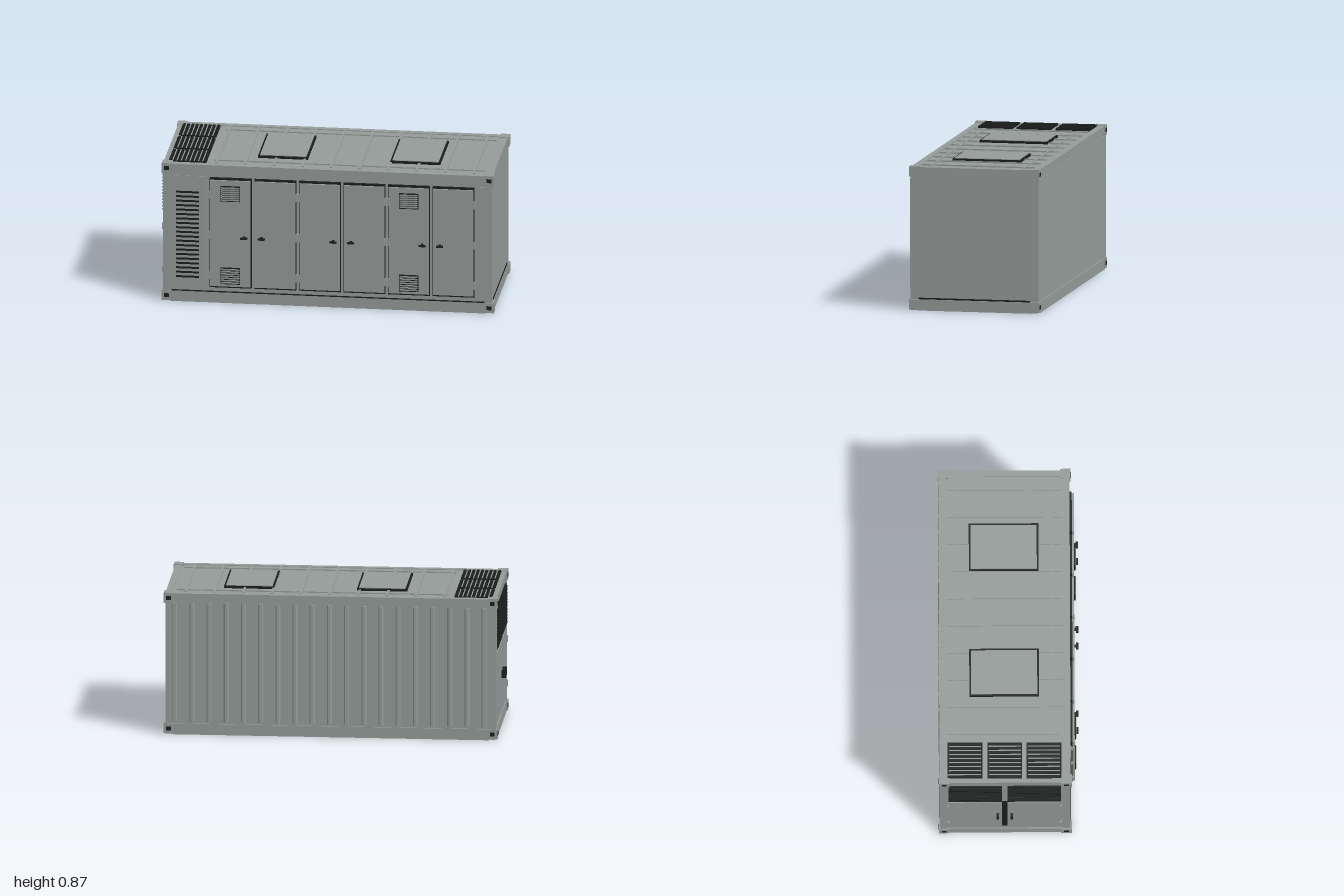
import * as THREE from 'three';

export function createModel() {
  const root = new THREE.Group();
  root.name = 'equipmentContainer';
  const grey = new THREE.MeshStandardMaterial({ color: 0x949b99 });
  grey.name = 'greyPaint';
  const dark = new THREE.MeshStandardMaterial({ color: 0x1b1e1e });
  dark.name = 'darkRubber';

  // Box given by its minimum and maximum on each axis
  const box = (name, mat, x0, x1, y0, y1, z0, z1, parent = root) => {
    const m = new THREE.Mesh(new THREE.BoxGeometry(x1 - x0, y1 - y0, z1 - z0), mat);
    m.position.set((x0 + x1) / 2, (y0 + y1) / 2, (z0 + z1) / 2);
    m.name = name;
    parent.add(m);
    return m;
  };
  const group = (name) => {
    const g = new THREE.Group();
    g.name = name;
    root.add(g);
    return g;
  };

  // Shell, rails and posts
  box('body', grey, -0.965, 0.982, 0.004, 0.852, -0.4, 0.362);
  const frame = group('frame');
  for (const [y0, y1] of [[0.002, 0.068], [0.812, 0.857]]) {
    box('frontRail', grey, -0.93, 0.95, y0, y1, 0.33, 0.366, frame);
    box('backRail', grey, -0.93, 0.95, y0, y1, -0.408, -0.37, frame);
    box('rightEndRail', grey, 0.95, 0.988, y0, y1, -0.36, 0.32, frame);
    box('leftEndRail', grey, -0.972, -0.93, y0, y1, -0.36, 0.32, frame);
  }
  for (const [x0, x1] of [[-0.972, -0.925], [0.945, 0.985]])
    for (const [z0, z1] of [[-0.405, -0.36], [0.32, 0.366]])
      box('cornerPost', grey, x0, x1, 0.06, 0.81, z0, z1, frame);
  box('frontSill', dark, -0.92, 0.94, 0.068, 0.074, 0.355, 0.368, frame);
  box('rightSill', dark, 0.975, 0.986, 0.069, 0.078, -0.355, 0.318, frame);

  // Corner castings with dark sockets on their outer faces
  const castings = group('cornerCastings');
  for (const [x0, x1, sx] of [[-0.979, -0.92, -1], [0.94, 0.997, 1]])
    for (const [y0, y1] of [[0.008, 0.069], [0.8, 0.861]])
      for (const [z0, z1, sz] of [[-0.412, -0.348, -1], [0.31, 0.373, 1]]) {
        box('casting', grey, x0, x1, y0, y1, z0, z1, castings);
        const cx = (x0 + x1) / 2, cy = (y0 + y1) / 2, zf = sz > 0 ? z1 : z0;
        box('socket', dark, cx - 0.014, cx + 0.014, cy - 0.012, cy + 0.012, zf - 0.002, zf + 0.002, castings);
        if (sx < 0) {
          const cz = (z0 + z1) / 2;
          box('endSocket', dark, x0 - 0.002, x0 + 0.002, cy - 0.012, cy + 0.012, cz - 0.014, cz + 0.014, castings);
        }
      }

  // Back wall corrugation: tapered ribs
  const rib = new THREE.Shape([[-0.015, 0], [0.015, 0], [0.008, 0.011], [-0.008, 0.011]]
    .map(([x, y]) => new THREE.Vector2(x, y)));
  const ribGeo = new THREE.ExtrudeGeometry(rib, { depth: 0.72, bevelEnabled: false });
  const backRibs = group('backRibs');
  for (let i = 0; i < 19; i++) {
    const m = new THREE.Mesh(ribGeo, grey);
    m.name = 'backRib';
    m.rotation.x = -Math.PI / 2;
    m.rotation.z = Math.PI;
    m.rotation.order = 'XYZ';
    // Profile height turned to -z, length turned up
    m.setRotationFromMatrix(new THREE.Matrix4().makeBasis(
      new THREE.Vector3(1, 0, 0), new THREE.Vector3(0, 0, -1), new THREE.Vector3(0, 1, 0)));
    m.position.set(-0.9 + i * 0.1018, 0.08, -0.4);
    backRibs.add(m);
  }

  // Roof ribs
  const roof = group('roofRibs');
  for (let i = 0; i < 10; i++) {
    const x = -0.66 + i * 0.17;
    box('crossRib', grey, x - 0.007, x + 0.007, 0.85, 0.86, -0.36, 0.32, roof);
  }
  for (const z of [-0.3, 0.26])
    box('longRib', grey, -0.68, 0.93, 0.85, 0.859, z - 0.006, z + 0.006, roof);

  // Roof hatches: dark gasket under a grey lid
  for (const x of [-0.43, 0.357]) {
    const hatch = group('roofHatch');
    box('gasket', dark, x, x + 0.297, 0.85, 0.865, -0.23, 0.182, hatch);
    box('lid', grey, x + 0.011, x + 0.286, 0.86, 0.869, -0.219, 0.171, hatch);
  }

  // Roof grilles
  for (const [z0, z1] of [[-0.36, -0.155], [-0.125, 0.08], [0.105, 0.312]]) {
    const grille = group('roofGrille');
    box('grillePlate', dark, -0.945, -0.72, 0.848, 0.858, z0, z1, grille);
    for (let i = 0; i < 9; i++) {
      const x = -0.934 + i * 0.0254;
      box('slat', dark, x - 0.007, x + 0.007, 0.855, 0.863, z0, z1, grille);
      if (i < 8) box('gap', grey, x + 0.0095, x + 0.0159, 0.855, 0.8595, z0 + 0.008, z1 - 0.008, grille);
    }
  }

  // Front louvre
  const louvre = group('frontLouvre');
  box('louvrePanel', grey, -0.92, -0.735, 0.11, 0.785, 0.35, 0.365, louvre);
  for (let i = 0; i < 20; i++) {
    const y = 0.158 + i * 0.0277;
    box('slot', dark, -0.895, -0.757, y - 0.0055, y + 0.0055, 0.36, 0.369, louvre);
  }
  box('louvreTrim', grey, -0.732, -0.714, 0.11, 0.785, 0.355, 0.372, louvre);
  box('endPanel', grey, 0.89, 0.943, 0.105, 0.785, 0.355, 0.366, louvre);

  // Six front doors in pairs, hinged on their outer edges
  for (let i = 0; i < 6; i++) {
    const door = group('frontDoor');
    const x0 = -0.692 + i * 0.2652, x1 = x0 + 0.248, leftLeaf = i % 2 === 0;
    box('gasket', dark, x0, x1, 0.102, 0.783, 0.355, 0.379, door);
    box('leaf', grey, x0 + 0.004, x1 - 0.004, 0.113, 0.772, 0.37, 0.391, door);
    const hx = leftLeaf ? x0 : x1;
    for (const y of [0.177, 0.428, 0.678])
      box('hinge', grey, hx - 0.006, hx + 0.006, y - 0.023, y + 0.023, 0.36, 0.385, door);
    // Lever handle
    const gx = leftLeaf ? x1 - 0.042 : x0 + 0.045;
    box('handleBase', dark, gx - 0.007, gx + 0.007, 0.412, 0.43, 0.388, 0.406, door);
    box('handleLever', dark, gx - 0.02, gx + 0.02, 0.416, 0.426, 0.4, 0.415, door);
    // Ventilation grilles on the first and fifth doors
    if (i % 4 === 0)
      for (const [y0, y1] of [[0.13, 0.232], [0.645, 0.74]]) {
        const vx = x0 + 0.067;
        box('vent', dark, vx, vx + 0.116, y0, y1, 0.388, 0.399, door);
        for (let k = 0; k < 7; k++) {
          const y = y0 + 0.01 + k * (y1 - y0 - 0.02) / 6;
          box('ventBlade', grey, vx + 0.004, vx + 0.112, y - 0.0042, y + 0.0042, 0.396, 0.402, door);
        }
      }
  }

  // Left end: two grilles over a pair of doors
  for (const [z0, z1, hz, hingeZ] of [[-0.355, -0.04, -0.065, -0.353], [-0.008, 0.31, 0.018, 0.308]]) {
    const end = group('endDoor');
    box('grille', dark, -0.974, -0.955, 0.54, 0.785, z0, z1, end);
    for (let k = 0; k < 12; k++) {
      const y = 0.555 + k * 0.0195;
      box('grilleSlat', dark, -0.98, -0.97, y - 0.005, y + 0.005, z0, z1, end);
      if (k < 11) box('grilleGap', grey, -0.9755, -0.97, y + 0.008, y + 0.0115, z0 + 0.01, z1 - 0.01, end);
    }
    box('leaf', grey, -0.976, -0.955, 0.11, 0.525, z0, z1, end);
    for (const y of [0.18, 0.45])
      box('hinge', grey, -0.983, -0.96, y - 0.02, y + 0.02, hingeZ - 0.007, hingeZ + 0.007, end);
    box('handle', dark, -1, -0.974, 0.3, 0.347, hz - 0.008, hz + 0.008, end);
  }
  box('endSeam', dark, -0.968, -0.96, 0.11, 0.525, -0.04, -0.008);

  return root;
}
